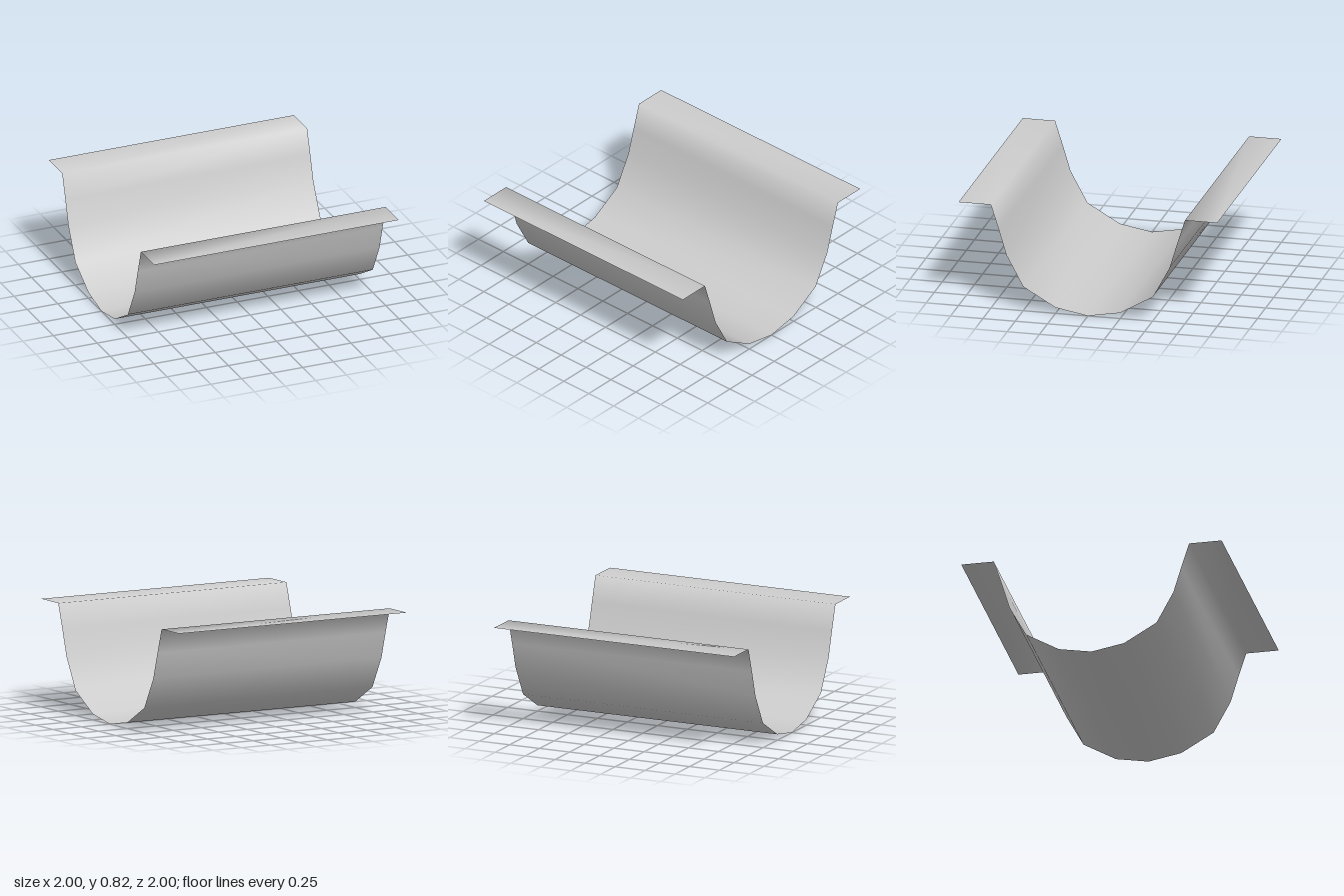
import * as THREE from 'three';

export function createModel() {
  const group = new THREE.Group();

  // Half of the cross-section as [z, y], from the outer lip down to the trough bottom
  const half = [[1, 0.82], [0.75, 0.82], [0.69, 0.63], [0.63, 0.43], [0.5, 0.19], [0.25, 0.045], [0, 0]];
  const mirrored = half.map(([z, y]) => [-z, y]);
  const profile = [...mirrored, ...half.slice(0, -1).reverse()];

  // A thin sheet running along x, each row bent onto the cross-section
  const sheet = new THREE.PlaneGeometry(2, 2, 1, profile.length - 1);
  const pos = sheet.attributes.position;
  for (let i = 0; i < pos.count; i++) {
    const [z, y] = profile[Math.floor(i / 2)];
    pos.setXYZ(i, pos.getX(i), y, z);
  }
  sheet.computeVertexNormals();

  const trough = new THREE.Mesh(
    sheet,
    new THREE.MeshStandardMaterial({ color: 0xcccccc, side: THREE.DoubleSide })
  );
  trough.name = 'flangedTrough';
  group.add(trough);
  return group;
}
